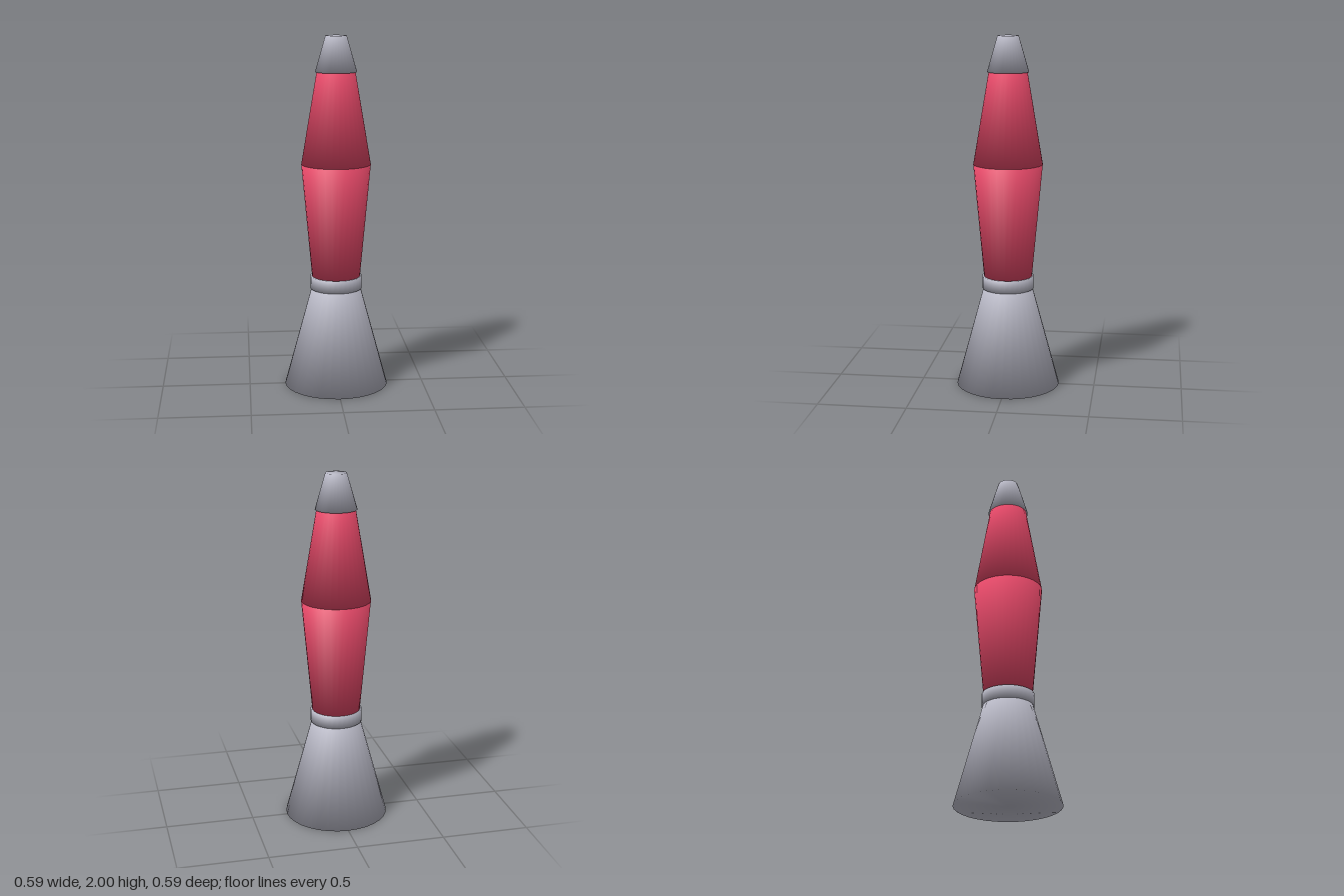
import * as THREE from 'three';
import { mergeVertices } from 'three/addons/utils/BufferGeometryUtils.js';

const SIDES = 32;

// Closed cone section whose normals blend softly from the side into both caps
function softFrustum(bottomRadius, topRadius, bottomY, topY) {
  const height = topY - bottomY;
  let geometry = new THREE.CylinderGeometry(topRadius, bottomRadius, height, SIDES);
  geometry.deleteAttribute('uv');
  geometry.deleteAttribute('normal');
  geometry = mergeVertices(geometry);

  const position = geometry.attributes.position;
  const normals = new THREE.Float32BufferAttribute(position.count * 3, 3);
  const n = new THREE.Vector3();
  const side = new THREE.Vector2(height, bottomRadius - topRadius).normalize();
  for (let i = 0; i < position.count; i++) {
    const x = position.getX(i), z = position.getZ(i);
    const up = Math.sign(position.getY(i));
    const r = Math.hypot(x, z);
    if (r < 1e-4) n.set(0, up, 0); // cap centre
    else n.set((x / r) * side.x, side.y + up, (z / r) * side.x).normalize();
    normals.setXYZ(i, n.x, n.y, n.z);
  }
  geometry.setAttribute('normal', normals);
  geometry.translate(0, (bottomY + topY) / 2, 0);
  return geometry;
}

export function createModel() {
  const metal = new THREE.MeshStandardMaterial({ color: 0xb5b5c2 });
  metal.name = 'brushed metal';
  const glass = new THREE.MeshStandardMaterial({ color: 0xdf4665 });
  glass.name = 'red glass';

  const lamp = new THREE.Group();
  lamp.name = 'lavaLamp';

  // name, material, bottom radius, top radius, bottom y, top y
  const parts = [
    ['base', metal, 0.295, 0.14, 0, 0.57],
    ['collar', metal, 0.147, 0.147, 0.568, 0.64],
    ['lowerGlass', glass, 0.137, 0.196, 0.638, 1.285],
    ['upperGlass', glass, 0.196, 0.108, 1.285, 1.802],
    ['cap', metal, 0.117, 0.059, 1.8, 2],
  ];
  for (const [name, material, r0, r1, y0, y1] of parts) {
    const mesh = new THREE.Mesh(softFrustum(r0, r1, y0, y1), material);
    mesh.name = name;
    lamp.add(mesh);
  }
  return lamp;
}
